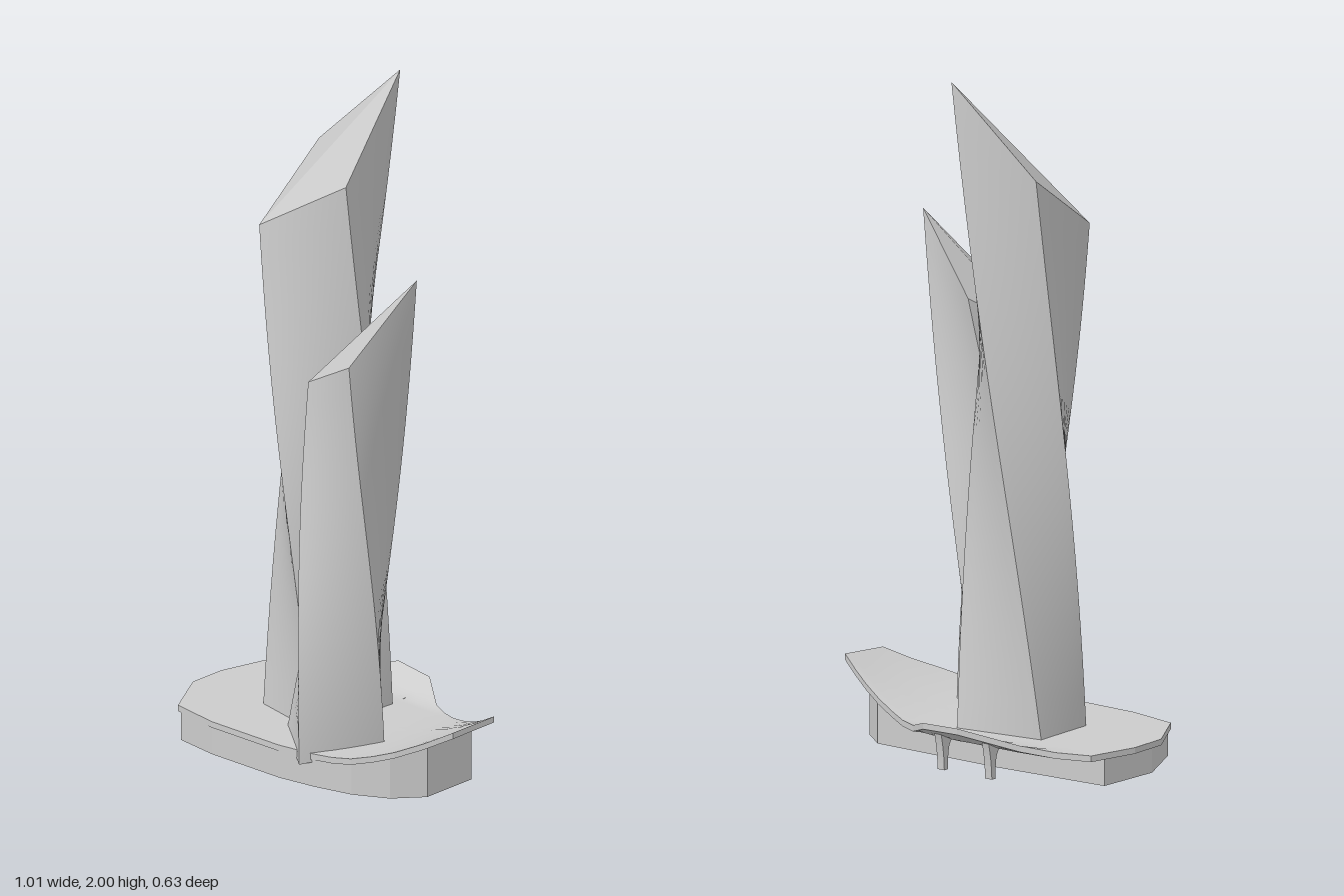
import * as THREE from 'three';

const smooth = new THREE.MeshStandardMaterial({ color: 0xcccccc, side: THREE.DoubleSide });
const faceted = new THREE.MeshStandardMaterial({ color: 0xcccccc, side: THREE.DoubleSide, flatShading: true });

// Grid surface from a rule: u runs to the right, v runs up, seen from outside
function patch(nu, nv, rule) {
  const pos = [], index = [];
  for (let j = 0; j <= nv; j++) {
    for (let i = 0; i <= nu; i++) pos.push(...rule(i / nu, j / nv));
  }
  for (let j = 0; j < nv; j++) {
    for (let i = 0; i < nu; i++) {
      const a = j * (nu + 1) + i, b = a + 1, c = b + nu + 1, d = c - 1;
      index.push(a, b, c, a, c, d);
    }
  }
  const g = new THREE.BufferGeometry();
  g.setAttribute('position', new THREE.Float32BufferAttribute(pos, 3));
  g.setIndex(index);
  g.computeVertexNormals();
  return g;
}

function add(parent, name, geometry, material) {
  const mesh = new THREE.Mesh(geometry, material);
  mesh.name = name;
  parent.add(mesh);
  return mesh;
}

const mix = (a, b, t) => a.map((v, k) => v + (b[k] - v) * t);

// Twisted four-sided tower: corners clockwise from above, bottom[i] joins top[i]
function tower(name, bottom, top, bulge) {
  const group = new THREE.Group();
  group.name = name;
  const centre = (q) => [0, 1, 2].map((k) => (q[0][k] + q[1][k] + q[2][k] + q[3][k]) / 4);
  const cb = centre(bottom), ct = centre(top);
  const corner = (i, t) => {
    const p = mix(bottom[i], top[i], t), c = mix(cb, ct, t);
    const dx = p[0] - c[0], dz = p[2] - c[2];
    const s = (bulge * 4 * t * (1 - t)) / Math.hypot(dx, dz);
    return [p[0] + dx * s, p[1], p[2] + dz * s];
  };
  for (let i = 0; i < 4; i++) {
    const n = (i + 1) % 4;
    add(group, 'towerSide', patch(6, 16, (u, v) => mix(corner(n, v), corner(i, v), u)), smooth);
  }
  // Slanted roof and underside
  add(group, 'towerRoof', patch(1, 1, (u, v) => mix(mix(top[3], top[2], u), mix(top[0], top[1], u), v)), faceted);
  add(group, 'towerFoot', patch(1, 1, (u, v) => mix(mix(bottom[0], bottom[1], u), mix(bottom[3], bottom[2], u), v)), faceted);
  return group;
}

// Deck height: flat, sweeping up at the right end, with a raised lip at the back
const deckY = (x, z) =>
  0.1 + 0.8 * Math.max(0, x - 0.12) ** 2 + 0.5 * Math.max(0, -z - 0.215);

// Closed polygon sampled by u, with `per` steps on each side
const along = (pts, u) => {
  const f = u * pts.length, i = Math.min(Math.floor(f + 1e-6), pts.length - 1);
  return mix(pts[i], pts[(i + 1) % pts.length], Math.max(0, f - i));
};

export function createModel() {
  const model = new THREE.Group();
  model.name = 'twinTowers';

  model.add(tower('tallTower',
    [[-0.245, 0.09, 0.09], [-0.245, 0.09, -0.115], [0.025, 0.09, -0.157], [0.005, 0.09, 0.15]],
    [[-0.26, 1.74, -0.16], [0, 2, -0.215], [0.055, 1.74, 0.072], [-0.24, 1.56, 0.112]], 0.018));
  model.add(tower('shortTower',
    [[-0.085, 0.085, 0.165], [0.045, 0.085, -0.03], [0.215, 0.085, 0.085], [0.095, 0.07, 0.312]],
    [[0.1, 1.31, -0.01], [0.317, 1.525, 0.062], [0.245, 1.3, 0.267], [0.028, 1.18, 0.2]], 0.015));

  // Deck outline, counter-clockwise from above
  const rim = [
    [-0.465, -0.17], [-0.505, -0.02], [-0.505, 0.1], [-0.415, 0.26], [-0.26, 0.29], [0, 0.295],
    [0.12, 0.28], [0.245, 0.26], [0.36, 0.205], [0.49, 0.1], [0.505, -0.055], [0.39, -0.105],
    [0.25, -0.165], [0.13, -0.225], [0.035, -0.3], [-0.1, -0.317], [-0.26, -0.235],
  ];
  const thick = 0.018;
  const deckPoint = (u, inward, drop) => {
    const [x, z] = mix(along(rim, u), [0, 0], inward);
    return [x, deckY(x, z) - drop, z];
  };
  const steps = rim.length * 2;
  const deck = new THREE.Group();
  deck.name = 'deck';
  add(deck, 'deckTop', patch(steps, 10, (u, v) => deckPoint(u, v, 0)), smooth);
  add(deck, 'deckUnderside', patch(steps, 10, (u, v) => deckPoint(u, 1 - v, thick)), smooth);
  add(deck, 'deckEdge', patch(steps, 1, (u, v) => deckPoint(u, 0, thick * (1 - v))), faceted);
  model.add(deck);

  // Thin plinth wall, open below, reaching up to the deck
  const wall = [
    [-0.465, -0.11], [-0.48, 0.09], [-0.4, 0.265], [-0.26, 0.287], [0, 0.292], [0.12, 0.277],
    [0.24, 0.25], [0.34, 0.2], [0.41, 0.12], [0.41, -0.065], [0.33, -0.13], [-0.1, -0.132],
  ];
  add(model, 'plinthWall', patch(wall.length * 3, 1, (u, v) => {
    const [x, z] = along(wall, u);
    return [x, v * (deckY(x, z) - thick / 2), z];
  }), faceted);

  // Two hooked legs under the back lip
  const hook = new THREE.Shape();
  hook.moveTo(0.232, 0);
  hook.lineTo(0.25, 0);
  hook.quadraticCurveTo(0.252, 0.06, 0.265, 0.108);
  hook.lineTo(0.2, 0.1);
  hook.lineTo(0.2, 0.088);
  hook.quadraticCurveTo(0.238, 0.092, 0.232, 0);
  for (const x of [0.01, -0.16]) {
    const g = new THREE.ExtrudeGeometry(hook, { depth: 0.024, bevelEnabled: false, curveSegments: 6 });
    g.translate(0, 0, -0.012);
    g.rotateY(Math.PI / 2);
    add(model, 'backLeg', g, faceted).position.x = x;
  }
  return model;
}
